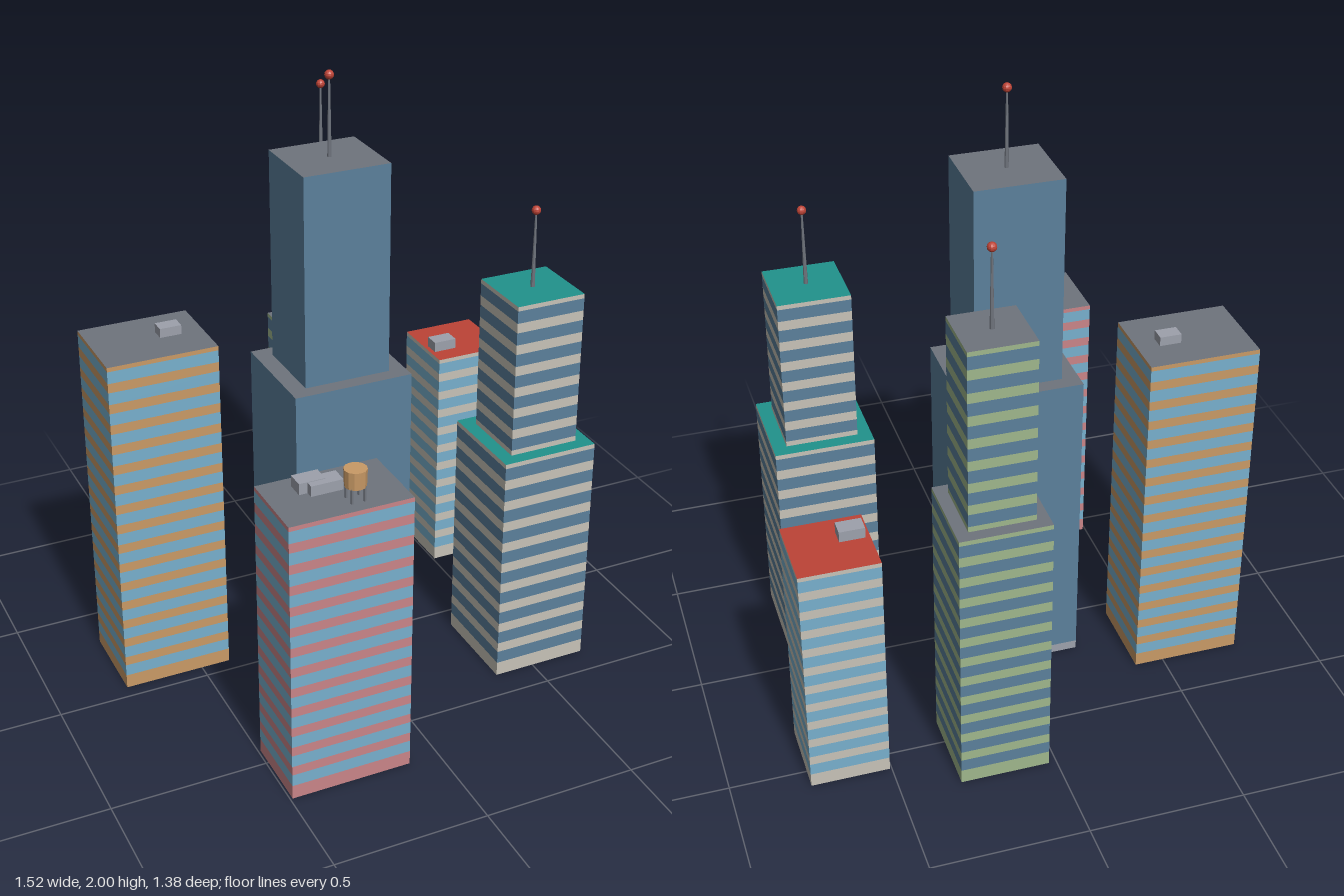
import * as THREE from 'three';
import { mergeGeometries } from 'three/addons/utils/BufferGeometryUtils.js';

const paint = (name, color) => {
  const m = new THREE.MeshStandardMaterial({ color, side: THREE.DoubleSide, flatShading: true });
  m.name = name;
  return m;
};

export function createModel() {
  const mat = {
    darkGlass: paint('darkGlass', 0x5b809b),
    lightGlass: paint('lightGlass', 0x78b0cd),
    green: paint('green', 0x9fb78c),
    orange: paint('orange', 0xc99a66),
    pink: paint('pink', 0xca8588),
    cream: paint('cream', 0xc7c3b8),
    slate: paint('slate', 0x6f747d),
    red: paint('red', 0xbd4336),
    teal: paint('teal', 0x20938c),
    metal: paint('metal', 0x9da1ac),
  };

  const add = (parent, name, geometry, material, x = 0, y = 0, z = 0) => {
    const mesh = new THREE.Mesh(geometry, material);
    mesh.name = name;
    mesh.position.set(x, y, z);
    parent.add(mesh);
    return mesh;
  };

  // Four upright sides with no floor or lid
  const ring = (w, d, y0, y1) => {
    const g = new THREE.BoxGeometry(w, y1 - y0, d).translate(0, (y0 + y1) / 2, 0);
    const i = Array.from(g.index.array);
    g.setIndex([...i.slice(0, 6), ...i.slice(12 + 6 - 6 + 12 - 0)]);
    g.setIndex([...i.slice(0, 12), ...i.slice(24)]);
    g.clearGroups();
    return g;
  };

  // One storey block: window bands between wall bands, with a flat roof
  const addTier = (parent, name, { w, d, y0, y1, floors, wall, glass, roof }) => {
    if (floors) {
      const step = (y1 - y0) / floors;
      const walls = [], windows = [];
      let from = y0;
      for (let i = 0; i < floors; i++) {
        const a = y0 + (i + 0.24) * step, b = y0 + (i + 0.8) * step;
        walls.push(ring(w, d, from, a));
        windows.push(ring(w, d, a, b));
        from = b;
      }
      walls.push(ring(w, d, from, y1));
      add(parent, name + 'WallBands', mergeGeometries(walls), mat[wall]);
      add(parent, name + 'WindowBands', mergeGeometries(windows), mat[glass]);
    } else {
      add(parent, name + 'GlassWalls', ring(w, d, y0, y1), mat[glass]);
    }
    add(parent, name + 'Roof', new THREE.PlaneGeometry(w, d).rotateX(-Math.PI / 2), mat[roof], 0, y1, 0);
  };

  const addAntenna = (parent, y) => {
    add(parent, 'antennaMast', new THREE.CylinderGeometry(0.003, 0.007, 0.25, 8), mat.slate, 0, y + 0.125, 0);
    add(parent, 'antennaLight', new THREE.SphereGeometry(0.0145, 12, 8), mat.red, 0, y + 0.2515, 0);
  };

  const BASE = 0.03;
  const city = new THREE.Group();
  city.name = 'skyscraperCluster';

  // Towers with a set-back upper block and antenna; floors = [lower, upper]
  const towers = [
    { name: 'centralTower', x: -0.046, z: -0.011, w: 0.392, d: 0.356, w2: 0.283, d2: 0.257, mid: 1.05, top: 1.734,
      floors: [0, 0], wall: 'metal', glass: 'darkGlass', roof: 'slate' },
    { name: 'backTower', x: 0.167, z: -0.547, w: 0.285, d: 0.285, w2: 0.206, d2: 0.206, mid: 0.922, top: 1.52,
      floors: [12, 8], wall: 'green', glass: 'darkGlass', roof: 'slate' },
    { name: 'leftTower', x: 0.525, z: 0.24, w: 0.321, d: 0.321, w2: 0.232, d2: 0.232, mid: 0.795, top: 1.306,
      floors: [10, 7], wall: 'cream', glass: 'darkGlass', roof: 'teal' },
  ];
  // Plain blocks
  const blocks = [
    { name: 'redRoofBlock', x: 0.631, z: -0.441, w: 0.25, d: 0.25, top: 0.805, floors: 11,
      wall: 'cream', glass: 'lightGlass', roof: 'red' },
    { name: 'orangeBlock', x: -0.582, z: -0.191, w: 0.357, d: 0.286, top: 1.165, floors: 16,
      wall: 'orange', glass: 'lightGlass', roof: 'slate' },
    { name: 'pinkBlock', x: -0.296, z: 0.561, w: 0.392, d: 0.25, top: 0.949, floors: 13,
      wall: 'pink', glass: 'lightGlass', roof: 'slate' },
  ];

  for (const t of [...towers, ...blocks]) {
    const g = new THREE.Group();
    g.name = t.name;
    g.position.set(t.x, 0, t.z);
    city.add(g);
    add(g, 'plinth', ring(t.w, t.d, 0, BASE), mat[t.wall]);
    if (t.mid) {
      addTier(g, 'lower', { ...t, y0: BASE, y1: t.mid, floors: t.floors[0] });
      addTier(g, 'upper', { ...t, w: t.w2, d: t.d2, y0: t.mid, y1: t.top, floors: t.floors[1] });
      addAntenna(g, t.top);
    } else {
      addTier(g, 'main', { ...t, y0: BASE, y1: t.top });
    }
  }

  // Rooftop air units: x, z, roof height, width, depth, height
  const units = [
    [0.561, -0.406, 0.805, 0.08, 0.053, 0.035],
    [-0.51, -0.2, 1.165, 0.07, 0.047, 0.03],
    [-0.353, 0.508, 0.949, 0.083, 0.056, 0.036],
    [-0.316, 0.532, 0.949, 0.102, 0.056, 0.034],
  ];
  for (const [x, z, y, w, d, h] of units) {
    add(city, 'airUnit', new THREE.BoxGeometry(w, h, d), mat.metal, x, y + h / 2, z);
  }

  // Water tank on four legs
  const tank = new THREE.Group();
  tank.name = 'waterTank';
  tank.position.set(-0.258, 0.949, 0.624);
  city.add(tank);
  add(tank, 'tankBarrel', new THREE.CylinderGeometry(0.035, 0.033, 0.056, 12), mat.orange, 0, 0.074, 0);
  for (const sx of [-1, 1]) for (const sz of [-1, 1]) {
    add(tank, 'tankLeg', new THREE.BoxGeometry(0.006, 0.05, 0.006), mat.slate, sx * 0.02, 0.025, sz * 0.02);
  }

  return city;
}
